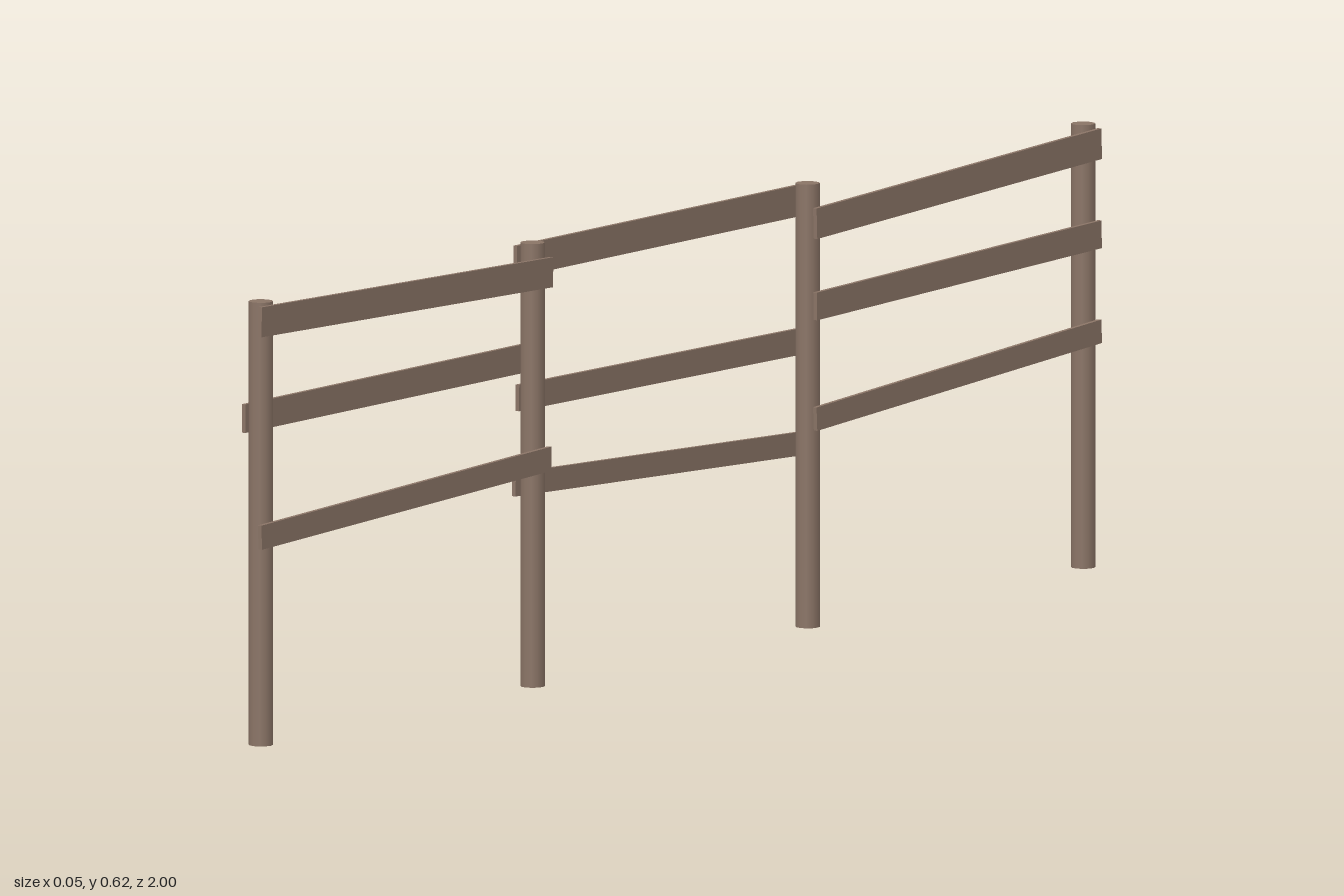
import * as THREE from 'three';

export function createModel() {
  const group = new THREE.Group();
  group.name = 'fence';
  const wood = new THREE.MeshStandardMaterial({ color: 0x8a7466 });
  wood.name = 'weathered wood';

  // Round posts
  const postGeometry = new THREE.CylinderGeometry(0.017, 0.017, 0.622, 12);
  [0.97, 0.325, -0.328, -0.982].forEach((z, i) => {
    const post = new THREE.Mesh(postGeometry, wood);
    post.name = `post${i + 1}`;
    post.position.set(0, 0.311, z);
    group.add(post);
  });

  // Plank from (z0, y0) to (z1, y1), nailed to one side of the posts
  function addRail(name, x, z0, y0, z1, y1, height) {
    const dz = z0 - z1, dy = y0 - y1;
    const rail = new THREE.Mesh(new THREE.BoxGeometry(0.006, height, Math.hypot(dz, dy)), wood);
    rail.name = name;
    rail.position.set(x, (y0 + y1) / 2, (z0 + z1) / 2);
    rail.rotation.x = -Math.atan2(dy, dz);
    group.add(rail);
  }

  // Front bay: the middle rail sits on the opposite side
  addRail('frontTopRail', 0.02, 1.0, 0.598, 0.308, 0.58, 0.042);
  addRail('frontMiddleRail', -0.02, 0.983, 0.457, 0.312, 0.457, 0.04);
  addRail('frontBottomRail', 0.02, 1.0, 0.296, 0.312, 0.319, 0.034);

  // Centre bay: all rails on the right side
  addRail('centreTopRail', -0.02, 0.338, 0.595, -0.342, 0.595, 0.044);
  addRail('centreMiddleRail', -0.0165, 0.338, 0.404, -0.342, 0.398, 0.037);
  addRail('centreBottomRail', -0.0225, 0.338, 0.282, -0.342, 0.253, 0.033);

  // Back bay: all rails on the left side
  addRail('backTopRail', 0.02, -0.318, 0.568, -0.994, 0.594, 0.043);
  addRail('backMiddleRail', 0.02, -0.318, 0.452, -0.994, 0.467, 0.039);
  addRail('backBottomRail', 0.02, -0.318, 0.294, -0.994, 0.331, 0.033);

  return group;
}
